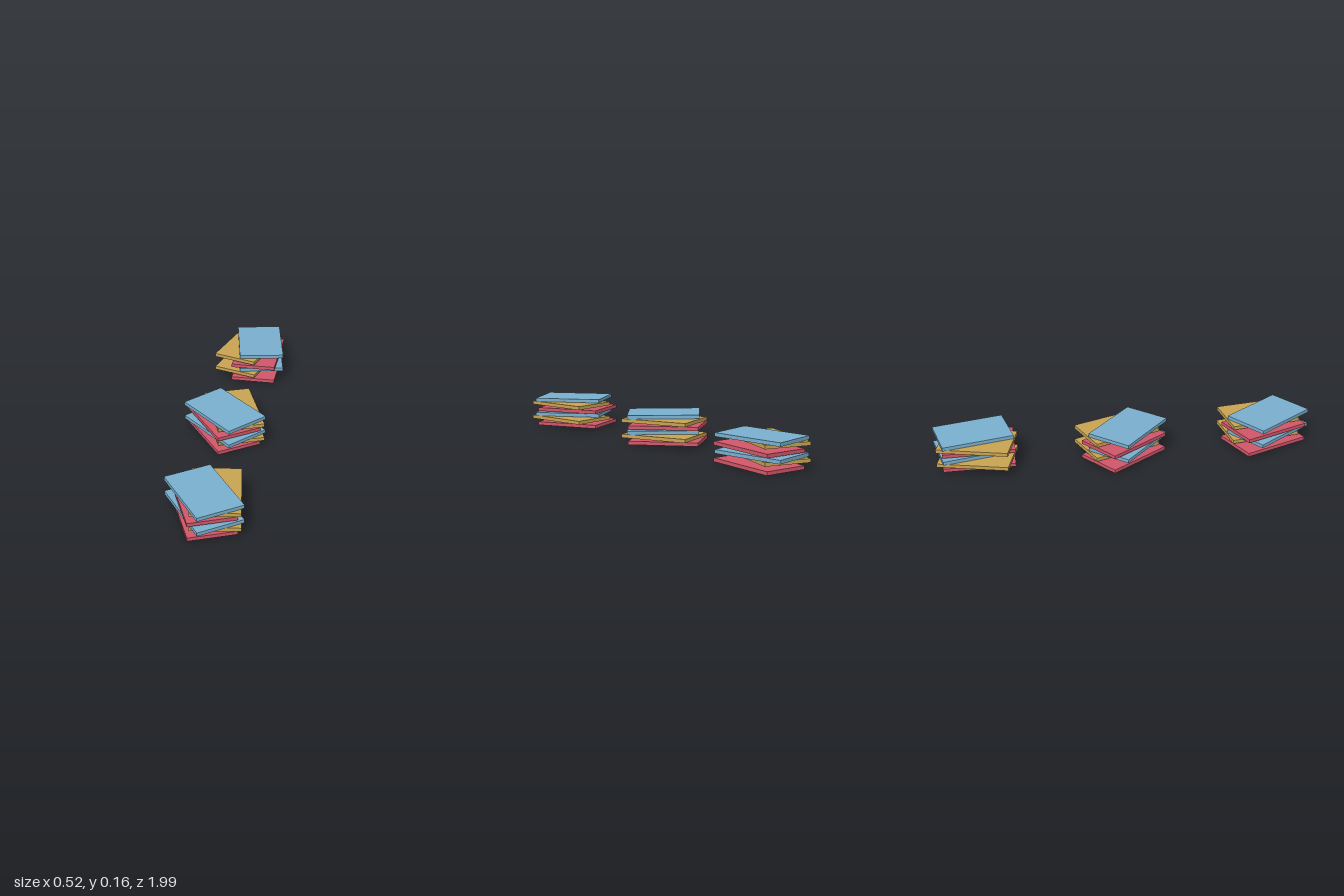
import * as THREE from 'three';

export function createModel() {
  const model = new THREE.Group();
  model.name = 'slabPiles';

  const slabGeometry = new THREE.BoxGeometry(0.245, 0.019, 0.375);
  const mat = (color) => new THREE.MeshStandardMaterial({ color });

  // One triplet of slabs, offset and turned relative to the blue one
  const slabs = [
    { name: 'redSlab', material: mat(0xd2576a), x: 0.01, y: 0.0143, z: -0.024, turn: -0.213, tiltX: 0.019, tiltZ: -0.01 },
    { name: 'goldSlab', material: mat(0xc9a452), x: 0.067, y: 0.0495, z: -0.005, turn: -0.472, tiltX: 0.012, tiltZ: 0 },
    { name: 'blueSlab', material: mat(0x7ab0cf), x: 0, y: 0.0705, z: 0, turn: 0, tiltX: 0.014, tiltZ: 0 },
  ];
  const layers = 2;
  const layerHeight = 0.082;

  // Three piles in a row from back to front, each turned its own way
  const piles = [
    { name: 'backPile', x: 0.119, z: -0.797, turn: 0.102 + Math.PI },
    { name: 'middlePile', x: -0.021, z: 0, turn: 0.755 },
    { name: 'frontPile', x: -0.057, z: 0.765, turn: 0.533 },
  ];

  for (const p of piles) {
    const pile = new THREE.Group();
    pile.name = p.name;
    pile.position.set(p.x, 0, p.z);
    pile.rotation.y = p.turn;

    // The triplet repeats in each layer
    for (let layer = 0; layer < layers; layer++) {
      for (const s of slabs) {
        const slab = new THREE.Mesh(slabGeometry, s.material);
        slab.name = s.name;
        slab.position.set(s.x, s.y + layer * layerHeight, s.z);
        slab.rotation.set(s.tiltX, s.turn, s.tiltZ, 'YXZ');
        pile.add(slab);
      }
    }
    model.add(pile);
  }
  return model;
}
